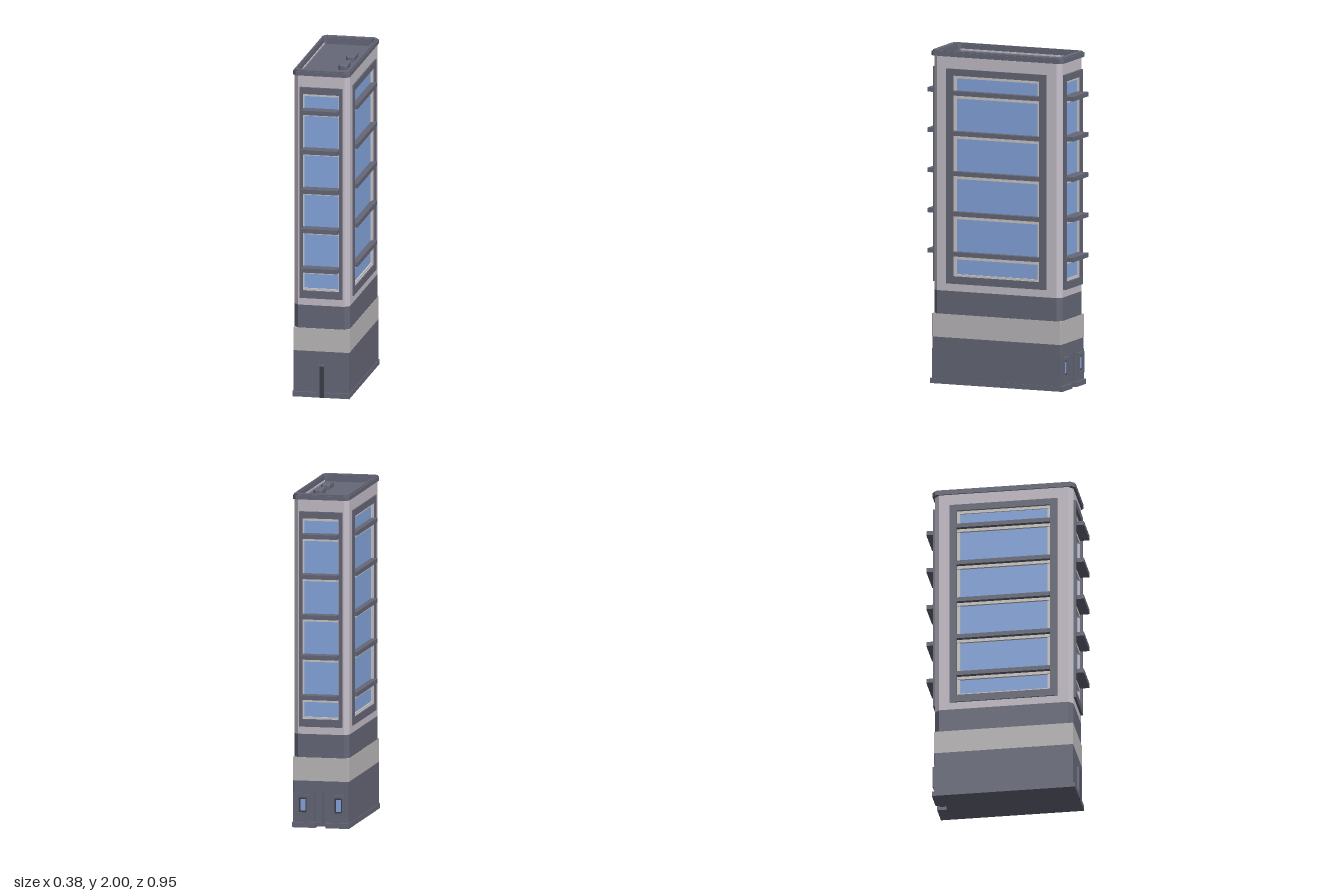
import * as THREE from 'three';

const mat = (name, color, side = THREE.FrontSide) => {
  const m = new THREE.MeshStandardMaterial({ color, side });
  m.name = name;
  return m;
};

export function createModel() {
  const root = new THREE.Group();
  root.name = 'towerBuilding';
  const wallMat = mat('pale wall', 0xc6c0ca);
  const bandMat = mat('stone band', 0xbdbabc);
  const darkMat = mat('slate', 0x666878);
  const trimMat = mat('light trim', 0xcfcac8);
  const glassMat = mat('blue glass', 0x86a8e0);
  const slotMat = mat('dark recess', 0x3c3d48);

  const add = (parent, name, geo, material, x = 0, y = 0, z = 0) => {
    const m = new THREE.Mesh(geo, material);
    m.name = name;
    m.position.set(x, y, z);
    parent.add(m);
    return m;
  };
  const box = (parent, name, material, w, h, d, x, y, z) =>
    add(parent, name, new THREE.BoxGeometry(w, h, d), material, x, y, z);

  const points = (list) => list.map(([x, y]) => new THREE.Vector2(x, y));
  // Rectangle with chamfered corners
  const plan = (a, b, c) => points([
    [a - c, -b], [a, -b + c], [a, b - c], [a - c, b],
    [-a + c, b], [-a, b - c], [-a, -b + c], [-a + c, -b],
  ]);
  const rect = (a, y0, y1) => points([[-a, y0], [a, y0], [a, y1], [-a, y1]]);
  const extrude = (outline, hole, depth) => {
    const s = new THREE.Shape(outline);
    if (hole) s.holes.push(new THREE.Path(hole));
    return new THREE.ExtrudeGeometry(s, { depth, bevelEnabled: false });
  };
  // Upright prism from a plan; plan y points to the back
  const prism = (name, material, outline, y0, y1, hole) =>
    add(root, name, extrude(outline, hole, y1 - y0).rotateX(-Math.PI / 2), material, 0, y0, 0);

  const W = 0.168, D = 0.415, C = 0.028;

  // Base with an entrance notch at the back
  const notched = (a, b, n, depth) => points([
    [-a, -b], [a, -b], [a, b], [n, b], [n, b - depth], [-n, b - depth], [-n, b], [-a, b],
  ]);
  prism('plinth', darkMat, notched(0.173, 0.43, 0.03, 0.06), 0, 0.03);
  prism('base', darkMat, notched(0.169, 0.417, 0.04, 0.04), 0.03, 0.21);
  prism('baseTop', darkMat, plan(0.169, 0.417, 0.002), 0.21, 0.28);
  prism('stoneBand', bandMat, plan(0.17, 0.418, 0.002), 0.28, 0.42);
  prism('slateBand', darkMat, plan(W, D, C), 0.42, 0.56);

  // Front post and back entrance
  box(root, 'frontPost', darkMat, 0.05, 0.2, 0.02, 0, 0.1, 0.42);
  box(root, 'frontSlot', slotMat, 0.026, 0.19, 0.004, 0.006, 0.095, 0.43);
  box(root, 'backPost', darkMat, 0.02, 0.2, 0.03, 0, 0.11, -0.395);
  for (const s of [-1, 1]) {
    const win = new THREE.Group();
    win.name = 'baseWindow';
    win.position.set(s * 0.108, 0.135, -0.417);
    win.rotation.y = Math.PI;
    root.add(win);
    add(win, 'baseWindowFrame', extrude(rect(0.04, -0.065, 0.065), rect(0.024, -0.045, 0.045), 0.012), darkMat);
    box(win, 'baseWindowRecess', slotMat, 0.048, 0.09, 0.002, 0, 0, 0.001);
    box(win, 'baseWindowGlass', glassMat, 0.032, 0.07, 0.004, 0, 0, 0.002);
  }

  // Upper walls, each with a recessed window, frame and sun fins
  const Y0 = 0.56, Y1 = 1.965;
  const facade = (name, o) => {
    const g = new THREE.Group();
    g.name = name;
    g.rotation.y = o.turn;
    root.add(g);
    const { half, dist, outer, inner, trim, proud, reach } = o;
    add(g, 'wall', extrude(rect(half, Y0, Y1), rect(inner, 0.65, 1.855), 0.02), wallMat, 0, 0, dist - 0.02);
    add(g, 'windowFrame', extrude(rect(outer, 0.605, 1.895), rect(inner, 0.65, 1.855), proud), darkMat, 0, 0, dist);
    add(g, 'windowTrim', extrude(rect(inner, 0.65, 1.855), rect(inner - trim, 0.662, 1.838), 0.012), trimMat, 0, 0, dist - 0.018);
    box(g, 'glass', glassMat, inner * 2, 1.205, 0.006, 0, 1.2525, dist - 0.017);
    for (let i = 0; i < 5; i++) {
      const y = 0.785 + i * 0.2415;
      box(g, 'sunFin', darkMat, inner * 2, 0.026, reach - dist + 0.015, 0, y, (reach + dist - 0.015) / 2);
      box(g, 'mullion', trimMat, inner * 2, 0.018, 0.016, 0, y - 0.024, dist - 0.008);
    }
  };
  const narrow = { half: W - C, dist: D, outer: 0.13, inner: 0.111, trim: 0.007, proud: 0.015, reach: 0.473 };
  const wide = { half: D - C, dist: W, outer: 0.323, inner: 0.28, trim: 0.018, proud: 0.008, reach: 0.19 };
  facade('frontFacade', { ...narrow, turn: 0 });
  facade('leftFacade', { ...wide, turn: Math.PI / 2 });
  facade('backFacade', { ...narrow, turn: Math.PI });
  facade('rightFacade', { ...wide, turn: -Math.PI / 2 });

  // Chamfered corner posts
  for (const sx of [-1, 1]) for (const sz of [-1, 1]) {
    const tri = points([[sx * (W - C), sz * (D - C)], [sx * W, sz * (D - C)], [sx * (W - C), sz * D]]);
    prism('cornerPost', wallMat, tri, Y0, Y1);
  }

  // Roof tray with raised rim and two vents
  prism('roofFloor', darkMat, plan(0.166, 0.413, C), 1.94, 1.955);
  prism('roofCurb', darkMat, plan(0.165, 0.412, C), 1.95, 1.97, plan(0.152, 0.385, 0.015));
  prism('roofRim', darkMat, plan(0.172, 0.43, 0.02), 1.967, 1.992, plan(0.152, 0.385, 0.015));
  prism('roofRimCap', darkMat, plan(0.166, 0.424, 0.022), 1.992, 2, plan(0.156, 0.39, 0.015));
  for (const z of [-0.07, 0.138]) {
    const vent = new THREE.ExtrudeGeometry(new THREE.Shape(plan(0.021, 0.062, 0.01)), {
      depth: 0.022, bevelEnabled: true, bevelThickness: 0.006, bevelSize: 0.006, bevelSegments: 2,
    }).rotateX(-Math.PI / 2);
    add(root, 'roofVent', vent, darkMat, 0.083, 1.957, z);
  }
  return root;
}
